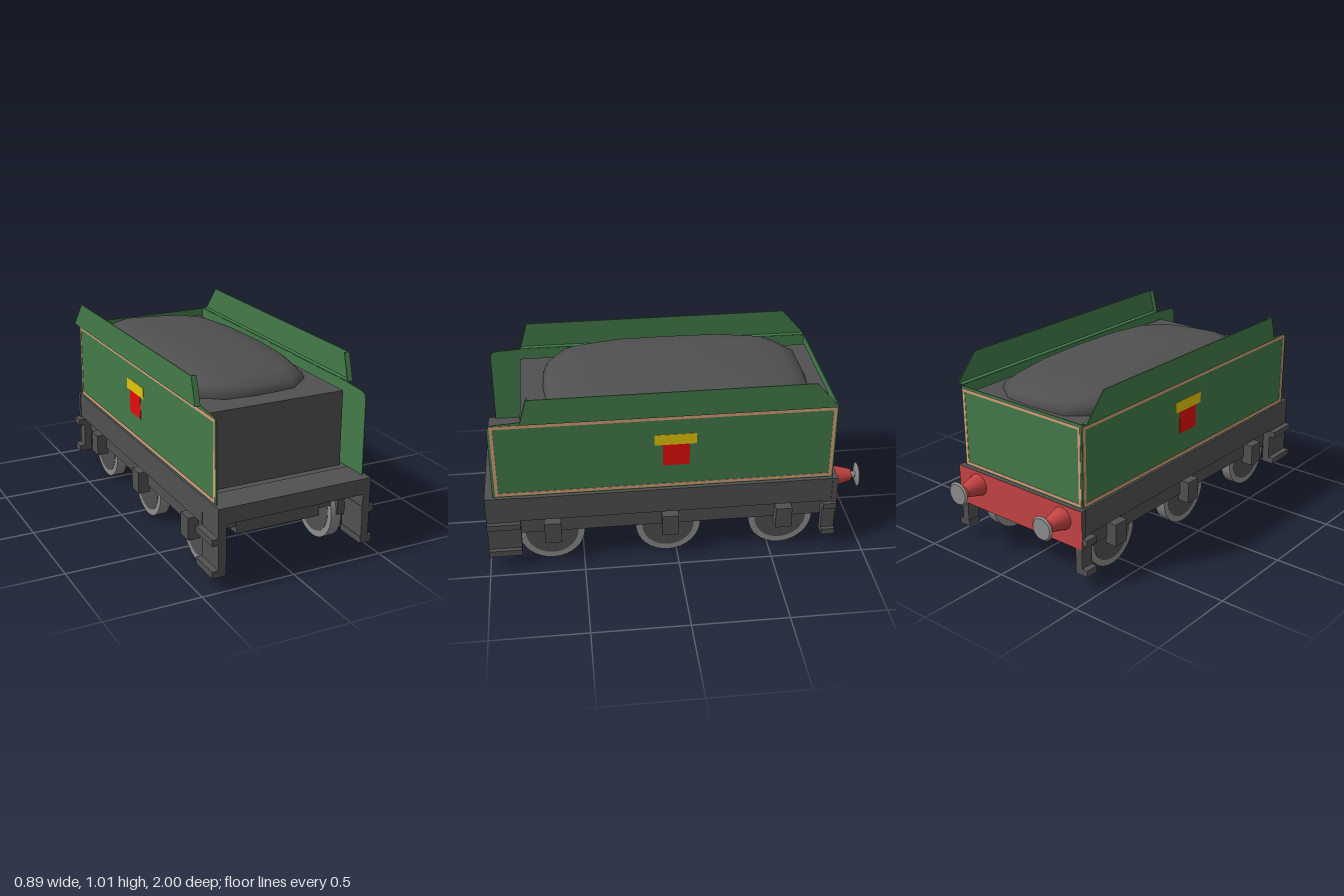
import * as THREE from 'three';

const mat = (name, color) => {
  const m = new THREE.MeshStandardMaterial({ color });
  m.name = name;
  return m;
};

export function createModel() {
  const green = mat('panel green', 0x437a4a);
  const dark = mat('frame grey', 0x505050);
  const steel = mat('wheel steel', 0x8c8c8c);
  const red = mat('buffer red', 0xc44343);
  const tan = mat('lining tan', 0xd49f78);
  const crimson = mat('badge red', 0xe60c0c);
  const gold = mat('badge gold', 0xe2c60c);

  const model = new THREE.Group();
  model.name = 'tender';
  const add = (name, geometry, material) => {
    const mesh = new THREE.Mesh(geometry, material);
    mesh.name = name;
    model.add(mesh);
    return mesh;
  };
  // Box given by its limits on each axis
  const box = (name, material, x0, x1, y0, y1, z0, z1) => {
    const g = new THREE.BoxGeometry(Math.abs(x1 - x0), y1 - y0, z1 - z0);
    g.translate((x0 + x1) / 2, (y0 + y1) / 2, (z0 + z1) / 2);
    return add(name, g, material);
  };
  // Plate drawn in (z, y) and extruded along x
  const sidePlate = (name, material, points, xMax, depth) => {
    const shape = new THREE.Shape(points.map(([z, y]) => new THREE.Vector2(z, y)));
    const g = new THREE.ExtrudeGeometry(shape, { depth, bevelEnabled: false });
    g.rotateY(-Math.PI / 2).translate(xMax, 0, 0);
    return add(name, g, material);
  };

  // Underframe, its centre line slightly to the left
  const c = 0.005;
  box('mainFrame', dark, c - 0.42, c + 0.42, 0.29, 0.431, -0.825, 0.83);
  box('footplate', dark, c - 0.42, c + 0.42, 0.35, 0.434, 0.83, 1);
  box('floor', dark, c - 0.305, c + 0.305, 0.235, 0.29, -0.825, 0.83);
  box('floorPan', dark, c - 0.24, c + 0.23, 0.2, 0.35, -0.825, 0.84);
  box('rearBeam', dark, c - 0.424, c + 0.424, 0.222, 0.432, -0.853, -0.825);
  box('bufferBeam', red, c - 0.423, c + 0.423, 0.223, 0.431, -0.855, -0.853);

  // Body
  box('coalBunker', dark, -0.365, 0.379, 0.43, 0.828, -0.82, 0.79);
  box('rearPanel', green, -0.403, 0.403, 0.432, 0.868, -0.828, -0.822);

  const wheelZ = [0.665, 0.045, -0.565];
  for (const s of [1, -1]) {
    const side = s > 0 ? 'left' : 'right';
    const slab = (name, m, a, b, ...rest) => box(side + name, m, s * a, s * b, ...rest);
    const under = (name, a, b, ...rest) => box(side + name, dark, c + s * a, c + s * b, ...rest);
    const plate = (name, m, points, inner, outer) =>
      sidePlate(side + name, m, points, s > 0 ? outer : -inner, outer - inner);

    // Side panel and the raised board above it
    plate('SidePanel', green, [[-0.826, 0.432], [0.958, 0.432], [0.955, 0.83], [0.945, 0.855],
      [0.92, 0.862], [0.79, 0.87], [-0.826, 0.87]], 0.4, 0.404);
    slab('BoardLedge', green, 0.402, 0.432, 0.869, 0.873, -0.82, 0.785);
    plate('RaisedBoard', green, [[-0.825, 0.87], [0.79, 0.87], [0.75, 1.009], [-0.7, 1.013]], 0.428, 0.433);
    plate('BoardEnd', green, [[0.784, 0.87], [0.79, 0.87], [0.75, 1.009], [0.744, 1.009]], 0.404, 0.43);

    // Lining and badge on the side panel
    slab('LiningTop', tan, 0.403, 0.406, 0.837, 0.854, -0.82, 0.943);
    slab('LiningBottom', tan, 0.403, 0.406, 0.438, 0.455, -0.82, 0.943);
    slab('LiningFront', tan, 0.403, 0.406, 0.455, 0.837, 0.926, 0.943);
    slab('LiningRear', tan, 0.403, 0.406, 0.455, 0.837, -0.82, -0.803);
    slab('BadgeBar', gold, 0.403, 0.406, 0.69, 0.75, -0.1, 0.118);
    slab('BadgeShield', crimson, 0.403, 0.406, 0.567, 0.69, -0.063, 0.076);

    // Lower frame and step hangers
    under('WheelFrame', 0.335, 0.378, 0.183, 0.35, -0.78, 0.845);
    for (const [end, z0, z1] of [['Front', 0.825, 1], ['Rear', -0.852, -0.78]]) {
      under(end + 'StepHanger', 0.378, 0.419, 0.085, 0.4, z0, z1);
      slab(end + 'LowerStep', dark, 0.38, 0.447, 0.083, 0.118, z0, z1);
      slab(end + 'UpperStep', dark, 0.38, 0.447, 0.25, 0.284, z0, z1);
    }

    // Wheels with axle boxes
    for (const z of wheelZ) {
      const x = c + s * 0.335;
      const rim = new THREE.CylinderGeometry(0.174, 0.174, 0.06, 32);
      add(side + 'WheelRim', rim.rotateZ(Math.PI / 2).translate(x, 0.174, z), steel);
      const disc = new THREE.CylinderGeometry(0.14, 0.14, 0.063, 32);
      add(side + 'WheelDisc', disc.rotateZ(Math.PI / 2).translate(x, 0.174, z), dark);
      under('AxleBox', 0.37, 0.434, 0.145, 0.265, z - 0.05, z + 0.038);
    }

    // Buffers: tapered housing, shaft and round head
    const buffer = (name, m, r0, r1, z0, z1) => {
      const g = new THREE.CylinderGeometry(r1, r0, z0 - z1, 24);
      add(side + name, g.rotateX(-Math.PI / 2).translate(s * 0.29, 0.357, (z0 + z1) / 2), m);
    };
    buffer('BufferHousing', red, 0.06, 0.032, -0.853, -0.958);
    buffer('BufferShaft', steel, 0.017, 0.017, -0.95, -0.988);
    buffer('BufferHead', steel, 0.035, 0.065, -0.983, -0.992);
    buffer('BufferFace', steel, 0.065, 0.055, -0.992, -1);
  }

  // Rear panel lining
  for (const [x0, x1, y0, y1] of [[-0.394, 0.394, 0.84, 0.854], [-0.394, 0.394, 0.438, 0.452],
    [-0.394, -0.38, 0.452, 0.84], [0.38, 0.394, 0.452, 0.84]]) {
    box('rearLining', tan, x0, x1, y0, y1, -0.83, -0.827);
  }

  // Coal heap: one outline stacked in shrinking rings, sloping down to the left
  const outline = [[-0.2, -0.73], [0, -0.74], [0.18, -0.73], [0.31, -0.64], [0.37, -0.35], [0.385, 0],
    [0.37, 0.3], [0.315, 0.54], [0.19, 0.65], [-0.02, 0.67], [-0.2, 0.66], [-0.345, 0.56],
    [-0.4, 0.28], [-0.405, -0.05], [-0.4, -0.35], [-0.345, -0.62]];
  const rings = [[0.76, 0.95], [0.8, 0.985], [0.85, 1], [0.89, 0.97], [0.925, 0.87], [0.942, 0.65], [0.95, 0.35], [0.952, 0]];
  const n = outline.length, pos = [], idx = [];
  for (const [y, k] of rings) {
    for (const [x, z] of outline) {
      const px = -0.01 + (x + 0.01) * k;
      pos.push(px, y - 0.06 * (px + 0.3), -0.035 + (z + 0.035) * k);
    }
  }
  for (let r = 0; r < rings.length - 1; r++) {
    for (let i = 0; i < n; i++) {
      const a = r * n + i, b = r * n + (i + 1) % n;
      idx.push(a, a + n, b, b, a + n, b + n);
    }
  }
  const coal = new THREE.BufferGeometry();
  coal.setAttribute('position', new THREE.Float32BufferAttribute(pos, 3));
  coal.setIndex(idx);
  coal.computeVertexNormals();
  add('coalHeap', coal, dark);

  return model;
}
